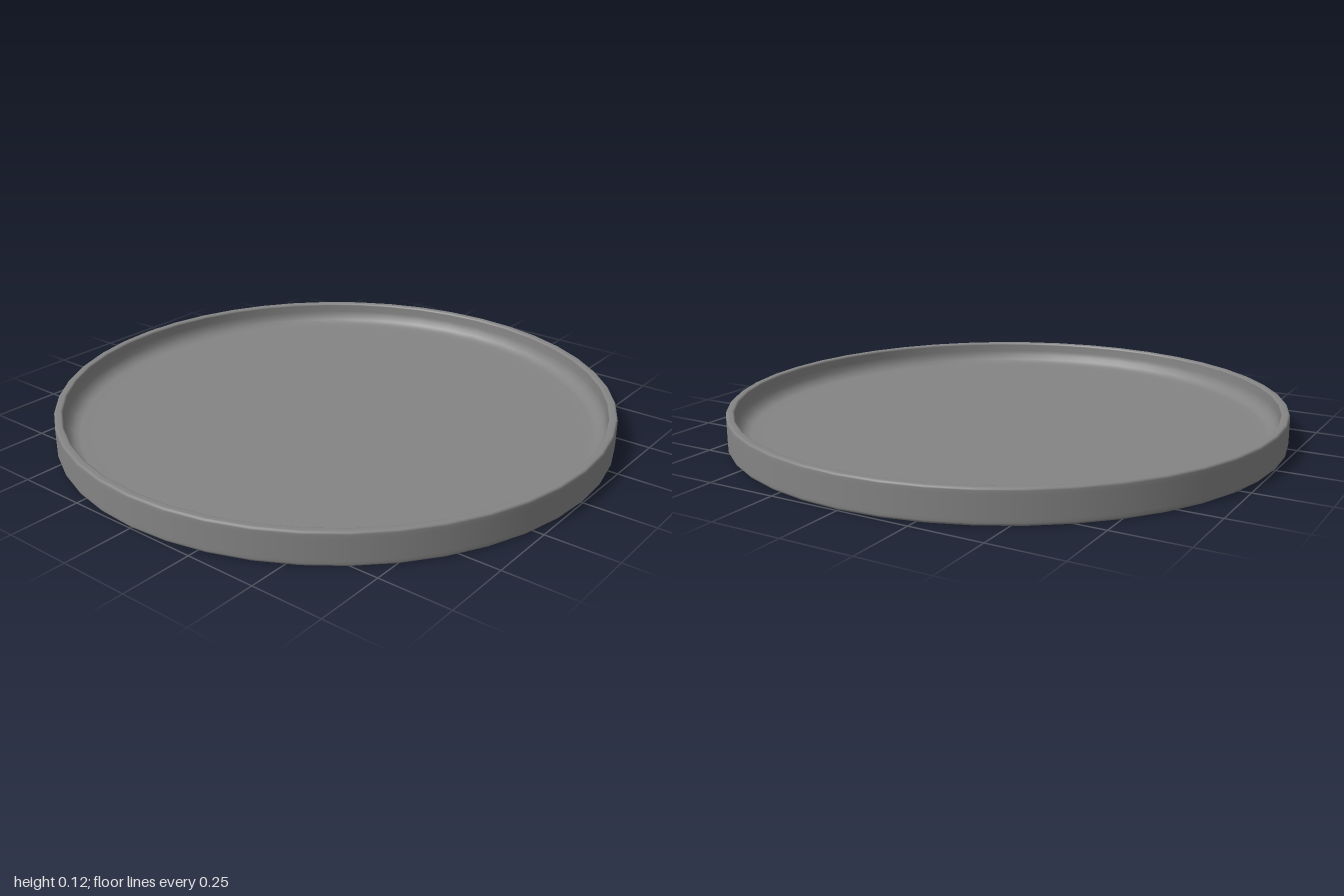
import * as THREE from 'three';

const SIDES = 44;
const HEIGHT = 0.115, FLOOR = 0.03, INNER = 0.97;

// Points along a quarter-round, angles in degrees
function arc(cx, cy, r, from, to, steps) {
  return Array.from({ length: steps + 1 }, (_, i) => {
    const a = THREE.MathUtils.degToRad(from + (to - from) * i / steps);
    return new THREE.Vector2(cx + r * Math.cos(a), cy + r * Math.sin(a));
  });
}

export function createModel() {
  const group = new THREE.Group();
  group.name = 'roundTray';

  const edge = 0.01, rim = 0.008, fillet = 0.05;
  const profile = [
    // flat underside, with a support ring near its edge
    new THREE.Vector2(0, 0),
    new THREE.Vector2(0.97, 0),
    // rounded bottom edge and outer wall
    ...arc(1 - edge, edge, edge, -90, 0, 3),
    new THREE.Vector2(1, 0.02),
    new THREE.Vector2(1, HEIGHT - 0.02),
    // rounded rim
    ...arc(1 - rim, HEIGHT - rim, rim, 0, 90, 3),
    ...arc(INNER + rim, HEIGHT - rim, rim, 90, 180, 3),
    // inner wall curving softly into the floor
    ...arc(INNER - fillet, FLOOR + fillet, fillet, 0, -90, 4),
    new THREE.Vector2(0.86, FLOOR),
    new THREE.Vector2(0, FLOOR),
  ];

  const tray = new THREE.Mesh(
    new THREE.LatheGeometry(profile, SIDES),
    new THREE.MeshStandardMaterial({ color: 0x848484 })
  );
  tray.name = 'tray';
  group.add(tray);
  return group;
}
